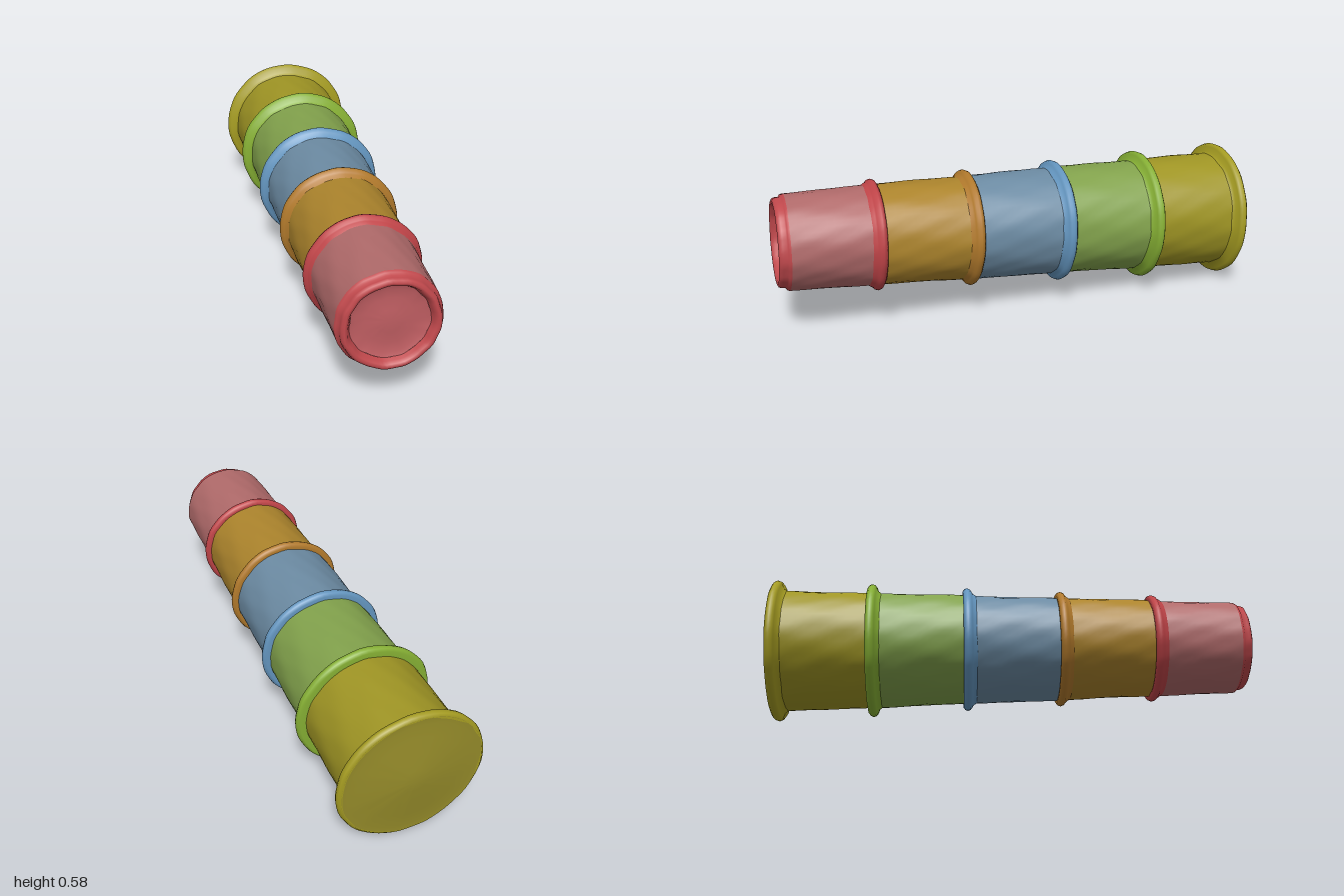
import * as THREE from 'three';
import { mergeVertices } from 'three/addons/utils/BufferGeometryUtils.js';

// Hand-made unevenness: a gentle ripple around and along the cups
const ripple = (a, z) =>
  Math.sin(5 * a + 9 * z) * 0.4 + Math.sin(11 * a - 17 * z) * 0.35 + Math.sin(17 * a + 31 * z) * 0.25;

// Turns a [z, radius] profile (back to front) around the slightly leaning axis
function turn(name, profile, color, rough = 0.003) {
  const pts = profile.map(([z, r]) => new THREE.Vector2(r, z));
  let geo = new THREE.LatheGeometry(pts, 64);
  geo.rotateX(Math.PI / 2);
  geo.deleteAttribute('uv');
  geo.deleteAttribute('normal');
  const p = geo.attributes.position;
  for (let i = 0; i < p.count; i++) {
    const x = p.getX(i), y = p.getY(i), z = p.getZ(i);
    const r = Math.hypot(x, y);
    const k = r > 1e-4 ? 1 + (rough * ripple(Math.atan2(y, x), z)) / Math.max(r, 0.1) : 1;
    p.setXYZ(i, x * k - 0.029 - 0.0306 * z, y * k + 0.331 + 0.0408 * z, z + 0.045 * x - 0.035 * y);
  }
  geo = mergeVertices(geo, 1e-5);
  geo.computeVertexNormals();
  const mesh = new THREE.Mesh(geo, new THREE.MeshStandardMaterial({ color, side: THREE.DoubleSide }));
  mesh.name = name;
  return mesh;
}

// Straight tapered wall with enough steps to carry the ripple
function wall(z0, r0, z1, r1, steps = 12) {
  return Array.from({ length: steps + 1 }, (_, i) => {
    const t = i / steps;
    return [z0 + (z1 - z0) * t, r0 + (r1 - r0) * t];
  });
}

// Rolled lip that swells out of the wall
function lip(z, inner, outer) {
  return [
    [z - 0.018, inner - 0.015], [z - 0.02, outer - 0.014], [z - 0.013, outer - 0.004], [z - 0.002, outer],
    [z + 0.009, outer - 0.004], [z + 0.016, outer - 0.013], [z + 0.022, inner + 0.008], [z + 0.036, inner - 0.002],
  ];
}

export function createModel() {
  const group = new THREE.Group();
  group.name = 'stackedCups';

  // lip position, lip radius, wall radius at lip, wall front position and radius, colours
  const cups = [
    { name: 'red', z: 0.6, lipR: 0.226, backR: 0.203, front: 0.945, frontR: 0.192, body: 0xb06a6a, rim: 0xc04448 },
    { name: 'orange', z: 0.21, lipR: 0.241, backR: 0.214, front: 0.6, frontR: 0.204, body: 0xac842c, rim: 0xb27a2c },
    { name: 'blue', z: -0.18, lipR: 0.257, backR: 0.226, front: 0.21, frontR: 0.216, body: 0x6c8ba3, rim: 0x6496c0 },
    { name: 'green', z: -0.57, lipR: 0.276, backR: 0.238, front: -0.18, frontR: 0.227, body: 0x82a24c, rim: 0x86b034 },
    { name: 'yellow', z: -0.955, lipR: 0.29, backR: 0.248, front: -0.57, frontR: 0.239, body: 0x9f9524, rim: 0xa69d22 },
  ];
  for (const c of cups) {
    const cup = new THREE.Group();
    cup.name = c.name + 'Cup';
    cup.add(turn(c.name + 'Wall', wall(c.z, c.backR, c.front, c.frontR), c.body));
    cup.add(turn(c.name + 'Lip', lip(c.z, c.backR, c.lipR), c.rim, 0.002));
    group.add(cup);
  }

  // Rounded base of the smallest cup with its sunken, dented floor
  group.add(turn('redBaseRim', [
    [0.945, 0.192], [0.955, 0.188], [0.96, 0.18], [0.975, 0.179], [0.986, 0.175], [0.991, 0.166],
    [0.988, 0.156], [0.975, 0.149], [0.962, 0.143],
  ], 0xc0484c));
  group.add(turn('redBaseFloor', [
    [0.962, 0.143], [0.956, 0.125], [0.953, 0.09], [0.958, 0.045], [0.96, 0],
  ], 0xbc5c60, 0.004));

  // Shallow domed cover closing the largest cup
  group.add(turn('yellowBackCover', [
    [-0.998, 0], [-0.995, 0.05], [-0.988, 0.12], [-0.98, 0.19], [-0.974, 0.25], [-0.975, 0.277],
  ], 0x968c2a));
  return group;
}
